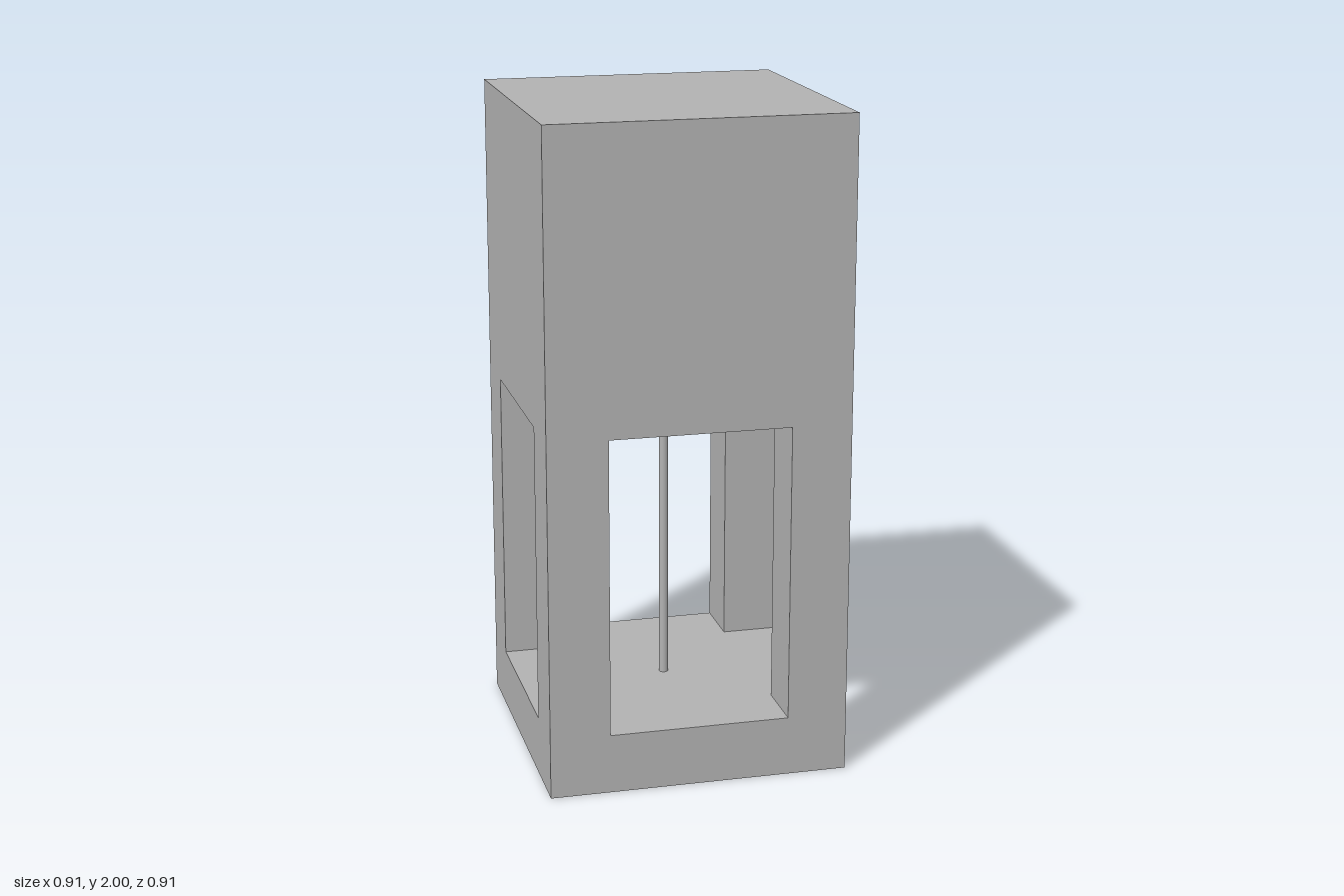
import * as THREE from 'three';

export function createModel() {
  const group = new THREE.Group();
  const stone = new THREE.MeshStandardMaterial({ color: 0xb2b2b2 });
  stone.name = 'grey stone';

  const width = 0.91, leg = 0.182, sill = 0.182, lintel = 1.091, height = 2;

  function add(name, geometry, x, y, z) {
    const mesh = new THREE.Mesh(geometry, stone);
    mesh.name = name;
    mesh.position.set(x, y, z);
    group.add(mesh);
  }
  const block = (name, w, y0, y1, x = 0, z = 0) =>
    add(name, new THREE.BoxGeometry(w, y1 - y0, w), x, (y0 + y1) / 2, z);

  // Solid base slab and heavy upper block
  block('base', width, 0, sill);
  block('upperBlock', width, lintel, height);

  // Four square corner legs framing the openings
  const offset = (width - leg) / 2;
  for (const sx of [-1, 1]) {
    for (const sz of [-1, 1]) {
      block('cornerLeg', leg, sill, lintel, sx * offset, sz * offset);
    }
  }

  // Slim rod standing in the middle of the open chamber
  add('centreRod', new THREE.CylinderGeometry(0.014, 0.014, lintel - sill, 16, 1, true),
    0, (sill + lintel) / 2, 0);

  return group;
}
